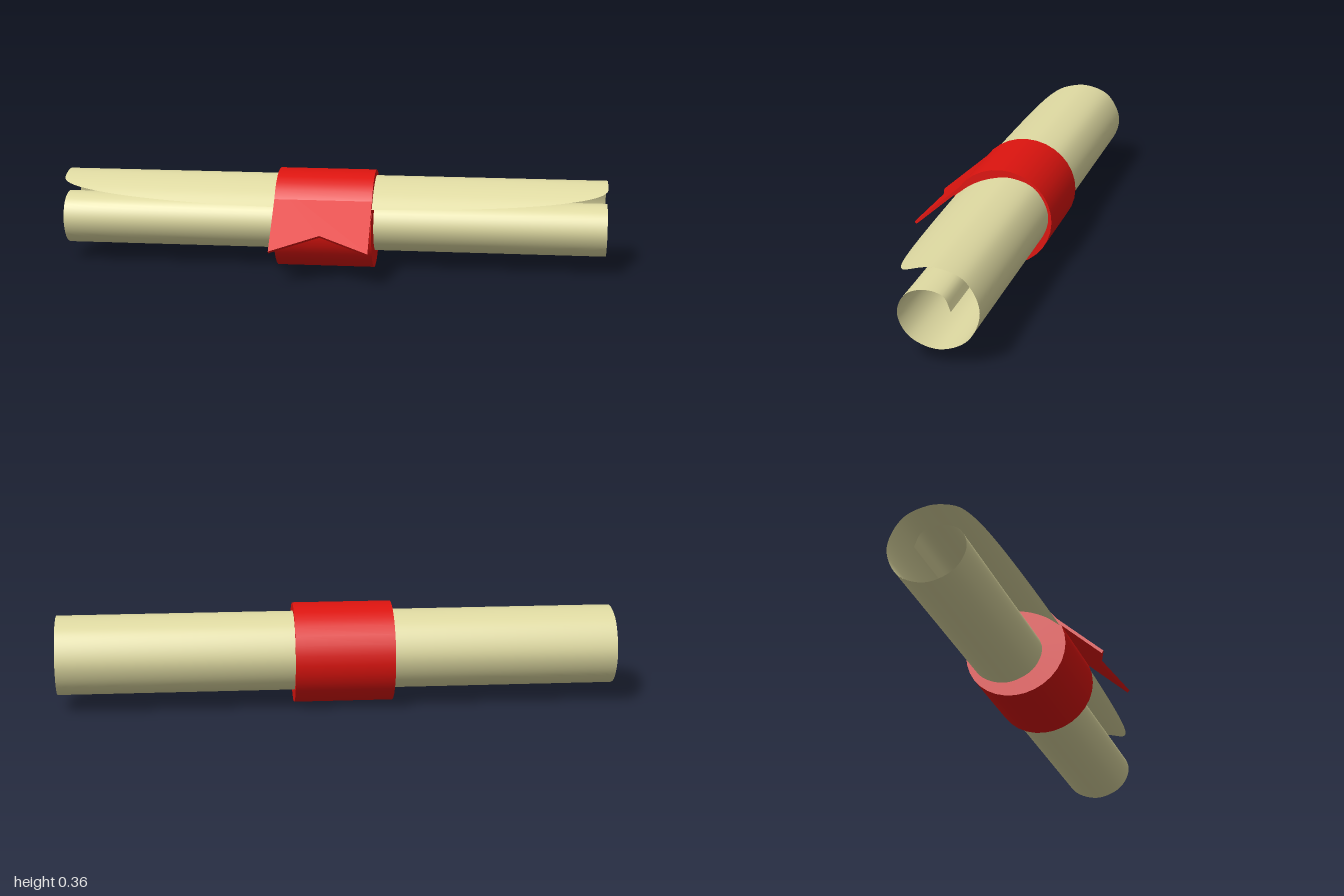
import * as THREE from 'three';
import { ParametricGeometry } from 'three/addons/geometries/ParametricGeometry.js';

// Spiral cross-section of the rolled sheet as [z, y], from the outer edge to the inner edge
const SPIRAL = [
  [0.097, 0.252], [0.04, 0.295], [-0.03, 0.325], [-0.105, 0.335], [-0.195, 0.302],
  [-0.245, 0.2], [-0.204, 0.096], [-0.105, 0.055], [-0.008, 0.09], [0.03, 0.165],
  [0.004, 0.23], [-0.06, 0.255], [-0.125, 0.24], [-0.15, 0.19],
];
const RIBBON_LEFT = 0.155, RIBBON_RIGHT = -0.2;

function createSheet() {
  const curve = new THREE.CatmullRomCurve3(SPIRAL.map(([z, y]) => new THREE.Vector3(0, y, z)));
  const trim = 0.148 / curve.getLength();
  // The outer edge is cut back towards both ends of the roll
  const geometry = new ParametricGeometry((u, v, target) => {
    const x = Math.sin((u - 0.5) * Math.PI);
    const start = trim * (1 - Math.pow(Math.max(0, 1 - x * x), 0.35));
    curve.getPointAt(Math.min(1, start + (1 - start) * v), target);
    target.x = x;
  }, 64, 80);
  geometry.computeVertexNormals();
  const material = new THREE.MeshStandardMaterial({ color: 0xdfdaa2, side: THREE.DoubleSide });
  const sheet = new THREE.Mesh(geometry, material);
  sheet.name = 'rolledSheet';
  return sheet;
}

function createRibbon() {
  const ribbon = new THREE.Group();
  ribbon.name = 'ribbon';
  const material = new THREE.MeshStandardMaterial({ color: 0xdd140f });
  const width = RIBBON_LEFT - RIBBON_RIGHT;
  const middle = (RIBBON_LEFT + RIBBON_RIGHT) / 2;

  // Band around the roll, slightly wider than tall
  const bandGeometry = new THREE.CylinderGeometry(1, 1, width, 32);
  bandGeometry.rotateZ(Math.PI / 2).scale(1, 0.18, 0.187);
  const band = new THREE.Mesh(bandGeometry, material);
  band.name = 'ribbonBand';
  band.position.set(middle, 0.181, -0.07);

  // Straight tail with a V-shaped notch, sloping down to the front
  const shape = new THREE.Shape();
  shape.moveTo(-width / 2, 0);
  shape.lineTo(width / 2, 0);
  shape.lineTo(width / 2, 0.3);
  shape.lineTo(0, 0.227);
  shape.lineTo(-width / 2, 0.3);
  shape.closePath();
  const tail = new THREE.Mesh(
    new THREE.ExtrudeGeometry(shape, { depth: 0.011, bevelEnabled: false }), material);
  tail.name = 'ribbonTail';
  tail.position.set(middle, 0.328, 0.032);
  tail.rotation.x = 2.294;

  ribbon.add(band, tail);
  return ribbon;
}

export function createModel() {
  const scroll = new THREE.Group();
  scroll.name = 'scroll';
  scroll.add(createSheet(), createRibbon());
  return scroll;
}
